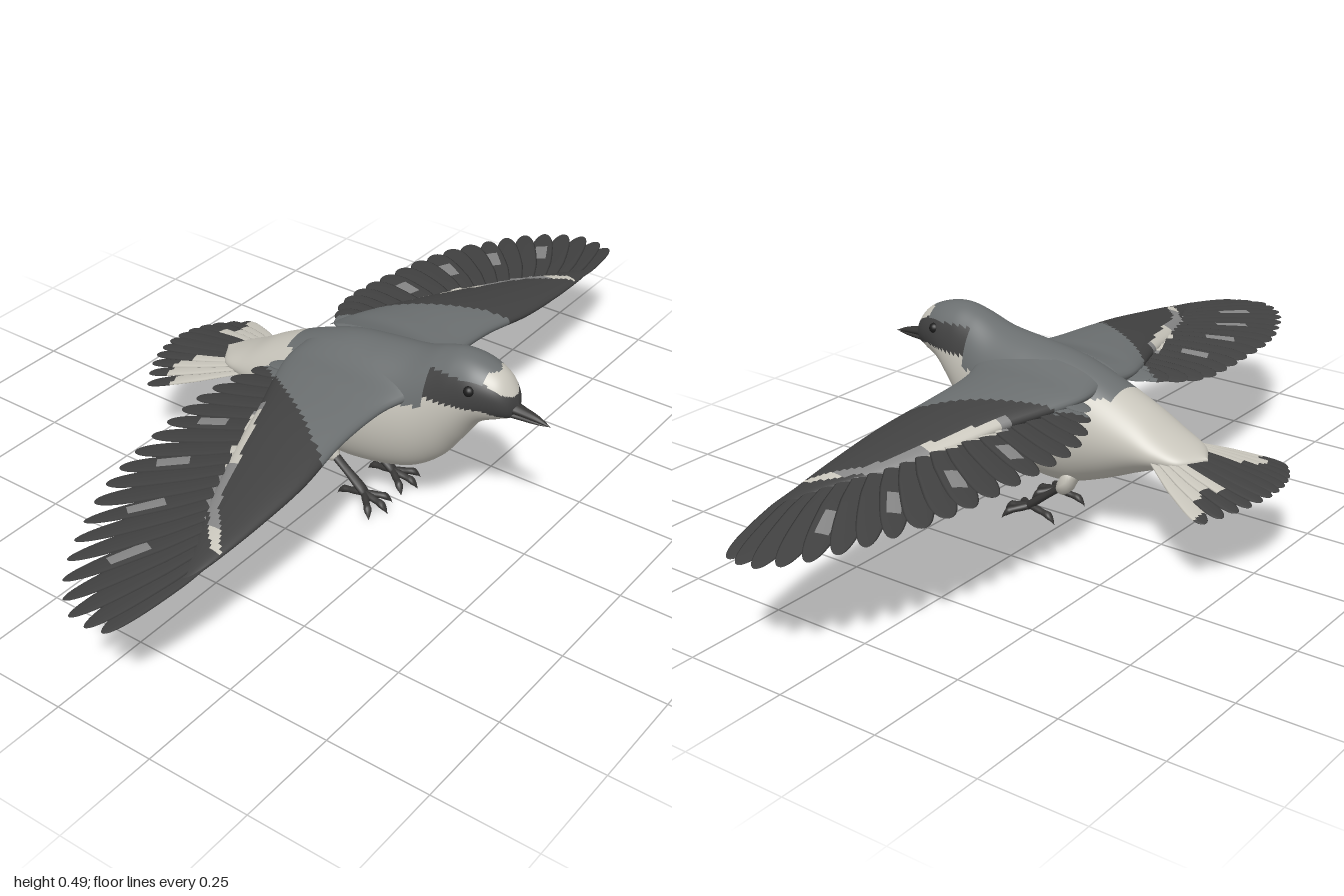
import * as THREE from 'three';

const material = (name, color) => new THREE.MeshStandardMaterial({ name, color });
const MATS = {
  grey: material('slate grey', 0x6b6f70),
  dark: material('charcoal', 0x414141),
  cream: material('cream', 0xc9c6bc),
  band: material('pale grey', 0x868686),
  horn: material('dark horn', 0x373635),
  eye: material('black', 0x1c1c1c),
};
const clamp = (v, a, b) => Math.min(b, Math.max(a, v));

// Smooth spline through rows of numbers, u from 0 to 1
function sample(rows, u) {
  const t = clamp(u, 0, 1) * (rows.length - 1);
  const i = Math.min(Math.floor(t), rows.length - 2), f = t - i;
  const row = k => rows[clamp(i + k, 0, rows.length - 1)];
  return rows[0].map((_, c) => {
    const a = row(-1)[c], b = row(0)[c], d = row(1)[c], e = row(2)[c];
    return b + 0.5 * f * (d - a + f * (2 * a - 5 * b + 4 * d - e + f * (3 * (b - d) + e - a)));
  });
}

// Elliptical loft: at(u) gives [x, y, z, halfWidth, halfHeight]; pick() names the colour of each face
function loft(name, at, pick, { nu = 20, nv = 12, roll = 0, dir = null } = {}) {
  const pos = [], buckets = {};
  const pickAt = typeof pick === 'string' ? () => pick : pick;
  for (let i = 0; i <= nu; i++) {
    const u = i / nu, [x, y, z, w, h] = at(u);
    const p = at(Math.max(0, u - 0.01)), q = at(Math.min(1, u + 0.01));
    const d = dir ? dir.clone() : new THREE.Vector3(q[0] - p[0], 0, q[2] - p[2]).normalize();
    for (let j = 0; j < nv; j++) {
      const a = (j / nv) * Math.PI * 2, c = Math.cos(a) * w;
      pos.push(x - d.z * c, y + h * Math.sin(a) + roll * c, z + d.x * c);
    }
  }
  const point = k => new THREE.Vector3().fromArray(pos, k * 3);
  for (let i = 0; i < nu; i++) for (let j = 0; j < nv; j++) {
    const k = (j + 1) % nv;
    const a = i * nv + j, b = a + nv, c = i * nv + k, d = c + nv;
    const mid = point(a).add(point(b)).add(point(c)).add(point(d)).multiplyScalar(0.25);
    const key = pickAt(mid, (i + 0.5) / nu, ((j + 0.5) / nv) * Math.PI * 2);
    (buckets[key] ??= []).push(a, b, c, b, d, c);
  }
  const g = new THREE.BufferGeometry(), index = [], mats = [];
  for (const [key, list] of Object.entries(buckets)) {
    g.addGroup(index.length, list.length, mats.length);
    for (const n of list) index.push(n);
    mats.push(MATS[key]);
  }
  g.setAttribute('position', new THREE.Float32BufferAttribute(pos, 3));
  g.setIndex(index);
  g.computeVertexNormals();
  const mesh = new THREE.Mesh(g, mats.length > 1 ? mats : mats[0]);
  mesh.name = name;
  return mesh;
}

// Round-tipped flat feather between two points
function feather(name, root, tip, width, point, pick, roll) {
  return loft(name, t => {
    const u = 1 - (1 - t) ** 1.7;
    const f = Math.min(1, 0.45 + 1.1 * u) * Math.sqrt(Math.max(0, 1 - u ** point));
    return [...root.map((r, c) => r + (tip[c] - r) * u), width * f, 0.0045 * f];
  }, pick, { nu: 26, nv: 12, roll });
}

// Head and body: z, top, bottom, half width
const BODY = [
  [0.462, 0.395, 0.385, 0], [0.45, 0.425, 0.362, 0.03], [0.42, 0.46, 0.348, 0.052],
  [0.37, 0.481, 0.32, 0.07], [0.32, 0.487, 0.25, 0.081], [0.27, 0.476, 0.185, 0.092],
  [0.2, 0.451, 0.137, 0.108], [0.1, 0.436, 0.112, 0.12], [0, 0.42, 0.107, 0.121],
  [-0.1, 0.385, 0.137, 0.11], [-0.2, 0.338, 0.18, 0.096], [-0.27, 0.296, 0.207, 0.083],
  [-0.33, 0.266, 0.222, 0.06], [-0.37, 0.25, 0.232, 0],
];
function bodyColour({ y, z }) {
  const front = Math.max(0, z - 0.4);
  if (z > 0.262 && y > 0.383 - front * 0.4 && y < 0.447 - front * 0.55) return 'dark';
  if (z > 0.395 && y < 0.466) return 'cream';
  if (z < -0.14) return 'cream';
  return y > (z > 0.262 ? 0.385 : 0.355) ? 'grey' : 'cream';
}

// Wing: covert panel x, y, leading z, trailing z, half thickness; feather roots and tips x, y, z
const COVERTS = [
  [0.04, 0.368, 0.25, -0.1, 0.05], [0.1, 0.364, 0.222, -0.1, 0.036], [0.17, 0.358, 0.203, -0.08, 0.036],
  [0.3, 0.347, 0.2, -0.03, 0.034], [0.45, 0.328, 0.214, 0.02, 0.027], [0.6, 0.31, 0.21, 0.08, 0.018],
  [0.72, 0.296, 0.2, 0.14, 0.01], [0.8, 0.286, 0.188, 0.17, 0.002],
];
const ROOTS = [
  [0.08, 0.37, 0.1], [0.2, 0.357, 0.1], [0.35, 0.345, 0.1],
  [0.45, 0.33, 0.13], [0.55, 0.318, 0.165], [0.6, 0.31, 0.19],
];
const TIPS = [
  [0.13, 0.35, -0.13], [0.2, 0.335, -0.175], [0.28, 0.322, -0.2], [0.37, 0.317, -0.2],
  [0.47, 0.312, -0.19], [0.58, 0.305, -0.175], [0.68, 0.298, -0.15], [0.78, 0.288, -0.11],
  [0.87, 0.28, -0.065], [0.95, 0.27, -0.005], [0.997, 0.262, 0.065], [0.985, 0.257, 0.135],
];
function wingColour(p) {
  const x = Math.abs(p.x), z = p.z;
  if (x < 0.2 + (z + 0.05) * 0.68) return 'grey';
  const bandZ = -0.03 + 0.4 * (x - 0.29) + 0.5 * Math.max(0, x - 0.6);
  if (x > 0.29 && x < 0.71 && Math.abs(z - bandZ) < 0.014) {
    return x < 0.48 && x > 0.31 || x > 0.66 ? 'cream' : 'band';
  }
  return 'dark';
}
function wing(side) {
  const g = new THREE.Group();
  g.name = side > 0 ? 'leftWing' : 'rightWing';
  g.add(loft('wingCoverts', u => {
    const [x, y, lead, trail, h] = sample(COVERTS, u);
    return [side * x, y, (lead + trail) / 2, (lead - trail) / 2, h];
  }, wingColour, { nu: 80, nv: 44, dir: new THREE.Vector3(side, 0, 0) }));
  const count = 20;
  for (let i = 0; i < count; i++) {
    const t = i / (count - 1);
    const root = sample(ROOTS, t), tip = sample(TIPS, t);
    root[0] *= side;
    tip[0] *= side;
    // Pale streak along the vane, broader underneath
    const pick = (p, u, a) => {
      const reach = Math.sin(a) < 0 ? 0.6 : 0.3;
      const streak = i > 5 && i < 17 && u > 0.4 && u < 0.58 && Math.abs(Math.cos(a)) < reach;
      return streak && (Math.sin(a) < 0 || i % 3 === 0) ? 'band' : wingColour(p);
    };
    g.add(feather('flightFeather', root, tip, t > 0.6 ? 0.034 : 0.036, t > 0.6 ? 5 : 9, pick, side * 0.14));
  }
  return g;
}

// Tail fan, drooping towards its outer feathers
function tail() {
  const g = new THREE.Group();
  g.name = 'tail';
  for (let i = 0; i < 12; i++) {
    const s = (i - 5.5) / 5.5, s2 = s * s;
    const root = [s * 0.055, 0.262 - s2 * 0.015, -0.25];
    const tip = [s * 0.185, 0.21 - s2 * 0.02, -0.545 + s2 * 0.07];
    const edge = Math.abs(s) < 0.3 ? -0.34 : -0.435 + 0.02 * Math.cos(i * 2);
    g.add(feather('tailFeather', root, tip, 0.025, 12, p => (p.z < edge ? 'dark' : 'cream'), s * 0.1));
  }
  return g;
}

// Leg with three front toes and one hind toe
function leg(side) {
  const g = new THREE.Group();
  g.name = side > 0 ? 'leftLeg' : 'rightLeg';
  const limb = (name, rows, colour) => g.add(loft(name, u => {
    const [x, y, z, r] = sample(rows, u);
    return [side * x, y, z, r, r];
  }, colour, { nu: 14, nv: 10 }));
  limb('thigh', [[0.052, 0.15, -0.05, 0], [0.054, 0.135, -0.035, 0.03], [0.055, 0.115, -0.01, 0.028], [0.055, 0.095, 0.015, 0]], 'cream');
  limb('shank', [[0.055, 0.11, -0.01, 0.012], [0.056, 0.075, 0.035, 0.011], [0.058, 0.035, 0.088, 0.013], [0.058, 0.025, 0.1, 0]], 'horn');
  for (const [dx, dz] of [[-0.04, 0.055], [0.005, 0.072], [0.05, 0.05], [0.005, -0.075]]) {
    const at = (f, y, r) => [0.058 + dx * f, y, 0.088 + dz * f, r];
    limb('toe', [at(0, 0.032, 0.008), at(0.3, 0.028, 0.009), at(0.55, 0.025, 0.008), at(0.78, 0.021, 0.0095), at(0.92, 0.013, 0.005), at(1, 0.002, 0)], 'horn');
  }
  return g;
}

export function createModel() {
  const bird = new THREE.Group();
  bird.name = 'bird';
  bird.add(loft('body', u => {
    const [z, top, bottom, w] = sample(BODY, u);
    return [0, (top + bottom) / 2, z, Math.max(0, w), (top - bottom) / 2];
  }, bodyColour, { nu: 130, nv: 80, dir: new THREE.Vector3(0, 0, -1) }));

  // Beak halves
  const beak = (name, rows) => bird.add(loft(name, u => sample(rows, u), 'horn', { nu: 14, nv: 14 }));
  beak('upperBeak', [[0, 0.387, 0.43, 0.024, 0.017], [0, 0.383, 0.465, 0.016, 0.011], [0, 0.377, 0.51, 0.009, 0.007], [0, 0.368, 0.546, 0, 0]]);
  beak('lowerBeak', [[0, 0.37, 0.43, 0.021, 0.01], [0, 0.369, 0.465, 0.014, 0.008], [0, 0.368, 0.505, 0.008, 0.005], [0, 0.367, 0.538, 0, 0]]);

  for (const side of [1, -1]) {
    const eye = new THREE.Mesh(new THREE.SphereGeometry(0.013, 16, 12), MATS.eye);
    eye.name = side > 0 ? 'leftEye' : 'rightEye';
    eye.position.set(side * 0.061, 0.427, 0.37);
    bird.add(eye, wing(side), leg(side));
  }
  bird.add(tail());
  return bird;
}
